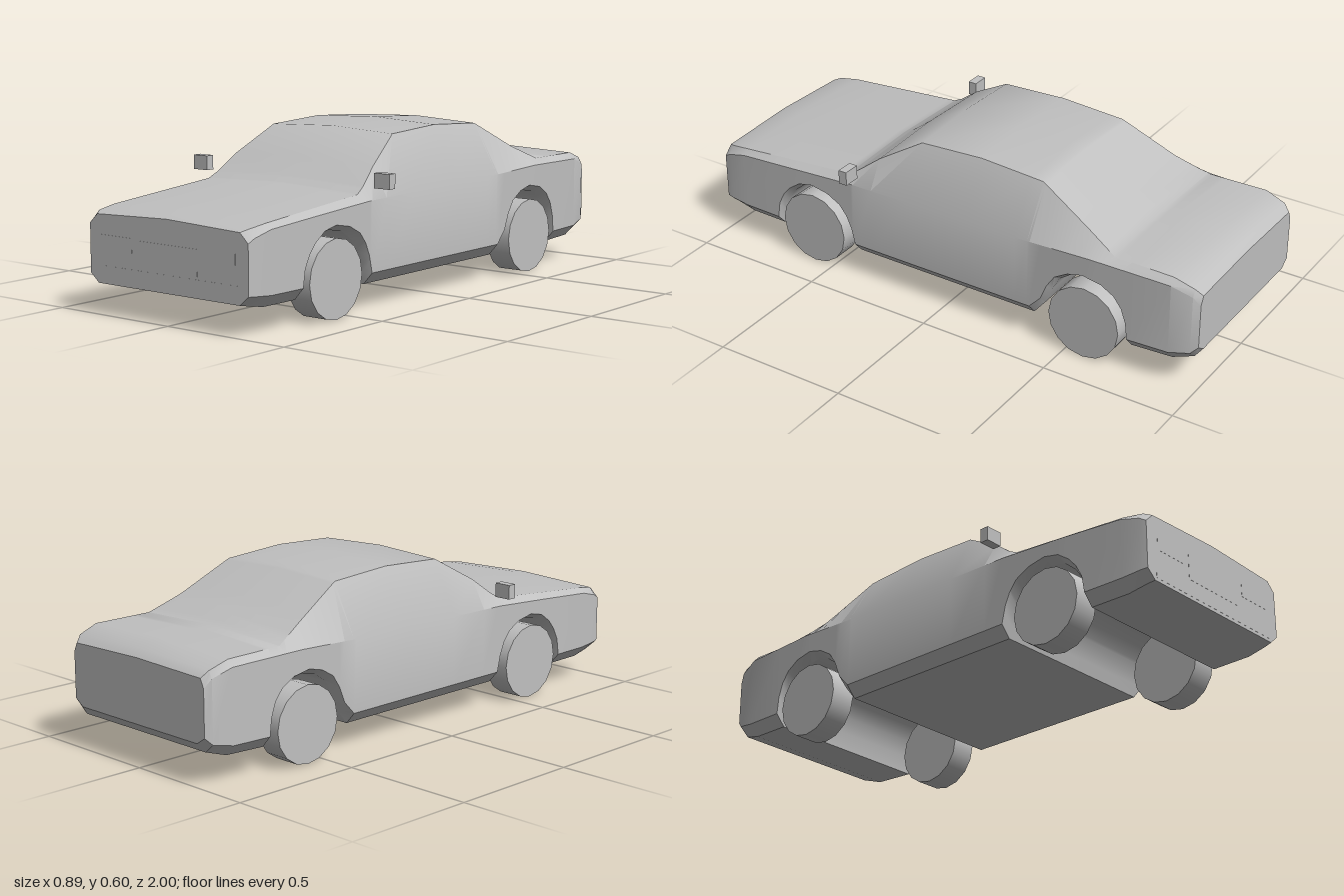
import * as THREE from 'three';
import { toCreasedNormals } from 'three/addons/utils/BufferGeometryUtils.js';

const paint = new THREE.MeshStandardMaterial({ color: 0xc0c0c0 });
paint.name = 'light grey';

// Upper body outline: z, centre height, edge half width, edge height
const upper = [
  [1, 0.355, 0.32, 0.343], [0.975, 0.364, 0.335, 0.352], [0.9, 0.376, 0.342, 0.363],
  [0.43, 0.415, 0.34, 0.402], [0.39, 0.436, 0.332, 0.424], [0.31, 0.497, 0.313, 0.485],
  [0.15, 0.591, 0.273, 0.579], [-0.1, 0.603, 0.27, 0.591], [-0.35, 0.588, 0.27, 0.576],
  [-0.55, 0.485, 0.303, 0.473], [-0.67, 0.432, 0.335, 0.42], [-0.9, 0.43, 0.34, 0.42],
  [-0.975, 0.405, 0.333, 0.395], [-1, 0.38, 0.32, 0.372],
];
// Sides: z, half width, belt height
const sides = [
  [1, 0.355, 0.31], [0.975, 0.36, 0.325], [0.9, 0.365, 0.345], [0.65, 0.371, 0.364],
  [0.4, 0.372, 0.38], [-0.3, 0.373, 0.39], [-0.6, 0.373, 0.402], [-0.9, 0.362, 0.397],
  [-0.975, 0.347, 0.37], [-1, 0.335, 0.34],
];
// Underside with arches: z, floor height, sill height
const under = [
  [1, 0.108, 0.14], [0.9, 0.09, 0.132], [0.748, 0.09, 0.132], [0.738, 0.155, 0.195],
  [0.715, 0.205, 0.24], [0.685, 0.25, 0.275], [0.64, 0.288, 0.307], [0.58, 0.3, 0.32],
  [0.51, 0.288, 0.307], [0.455, 0.25, 0.278], [0.425, 0.205, 0.24], [0.405, 0.155, 0.195],
  [0.39, 0.09, 0.132], [-0.36, 0.09, 0.132], [-0.405, 0.145, 0.18], [-0.43, 0.205, 0.24],
  [-0.46, 0.26, 0.285], [-0.51, 0.295, 0.315], [-0.57, 0.308, 0.33], [-0.64, 0.297, 0.317],
  [-0.69, 0.262, 0.287], [-0.72, 0.212, 0.247], [-0.738, 0.155, 0.195], [-0.745, 0.09, 0.132],
  [-0.9, 0.095, 0.135], [-0.975, 0.118, 0.15], [-1, 0.15, 0.175],
];

// Linear lookup in a table sorted from front to back
function sample(table, z) {
  let i = 0;
  while (i < table.length - 2 && z < table[i + 1][0]) i++;
  const a = table[i], b = table[i + 1];
  const t = (z - a[0]) / (b[0] - a[0]);
  return a.slice(1).map((v, k) => v + (b[k + 1] - v) * t);
}

function section(z) {
  const [topY, edgeX, edgeY] = sample(upper, z);
  const [width, beltY] = sample(sides, z);
  const [floorY, sillY] = sample(under, z);
  const half = [[width - 0.037, floorY], [width, sillY], [width, beltY], [edgeX, edgeY]];
  const mirrored = half.map(([x, y]) => [-x, y]).reverse();
  return [[0, floorY], ...half, [0, topY], ...mirrored];
}

// Body shell lofted from front to back
function bodyGeometry() {
  const zs = [...new Set([...upper, ...sides, ...under].map((r) => r[0]))].sort((a, b) => b - a);
  const positions = [], index = [];
  for (const z of zs) for (const [x, y] of section(z)) positions.push(x, y, z);
  const n = 10, last = (zs.length - 1) * n;
  for (let i = 0; i < zs.length - 1; i++) {
    for (let j = 0; j < n; j++) {
      const a = i * n + j, b = i * n + (j + 1) % n;
      index.push(a, a + n, b + n, a, b + n, b);
    }
  }
  // Flat nose and tail
  for (let j = 1; j < n - 1; j++) {
    index.push(0, j, j + 1, last, last + j + 1, last + j);
  }
  const geometry = new THREE.BufferGeometry();
  geometry.setAttribute('position', new THREE.Float32BufferAttribute(positions, 3));
  geometry.setIndex(index);
  return toCreasedNormals(geometry, 0.52);
}

export function createModel() {
  const car = new THREE.Group();
  car.name = 'car';
  const add = (name, geometry, x = 0, y = 0, z = 0) => {
    const mesh = new THREE.Mesh(geometry, paint);
    mesh.name = name;
    mesh.position.set(x, y, z);
    car.add(mesh);
  };

  add('body', bodyGeometry());

  // Wheels and floating door mirrors
  const wheel = new THREE.CylinderGeometry(0.138, 0.138, 0.097, 16).rotateZ(Math.PI / 2);
  const mirror = new THREE.BoxGeometry(0.064, 0.052, 0.033);
  for (const [side, label] of [[1, 'left'], [-1, 'right']]) {
    add(label + 'FrontWheel', wheel, side * 0.321, 0.138, 0.58);
    add(label + 'RearWheel', wheel, side * 0.321, 0.138, -0.575);
    add(label + 'Mirror', mirror, side * 0.414, 0.449, 0.376);
    add(label + 'Headlight', new THREE.BoxGeometry(0.14, 0.05, 0.004), side * 0.23, 0.25, 0.9985);
  }

  // Shallow nose details
  add('frontBumper', new THREE.BoxGeometry(0.62, 0.05, 0.004), 0, 0.145, 0.9985);
  add('grille', new THREE.BoxGeometry(0.27, 0.09, 0.004), 0, 0.225, 0.9985);
  return car;
}
